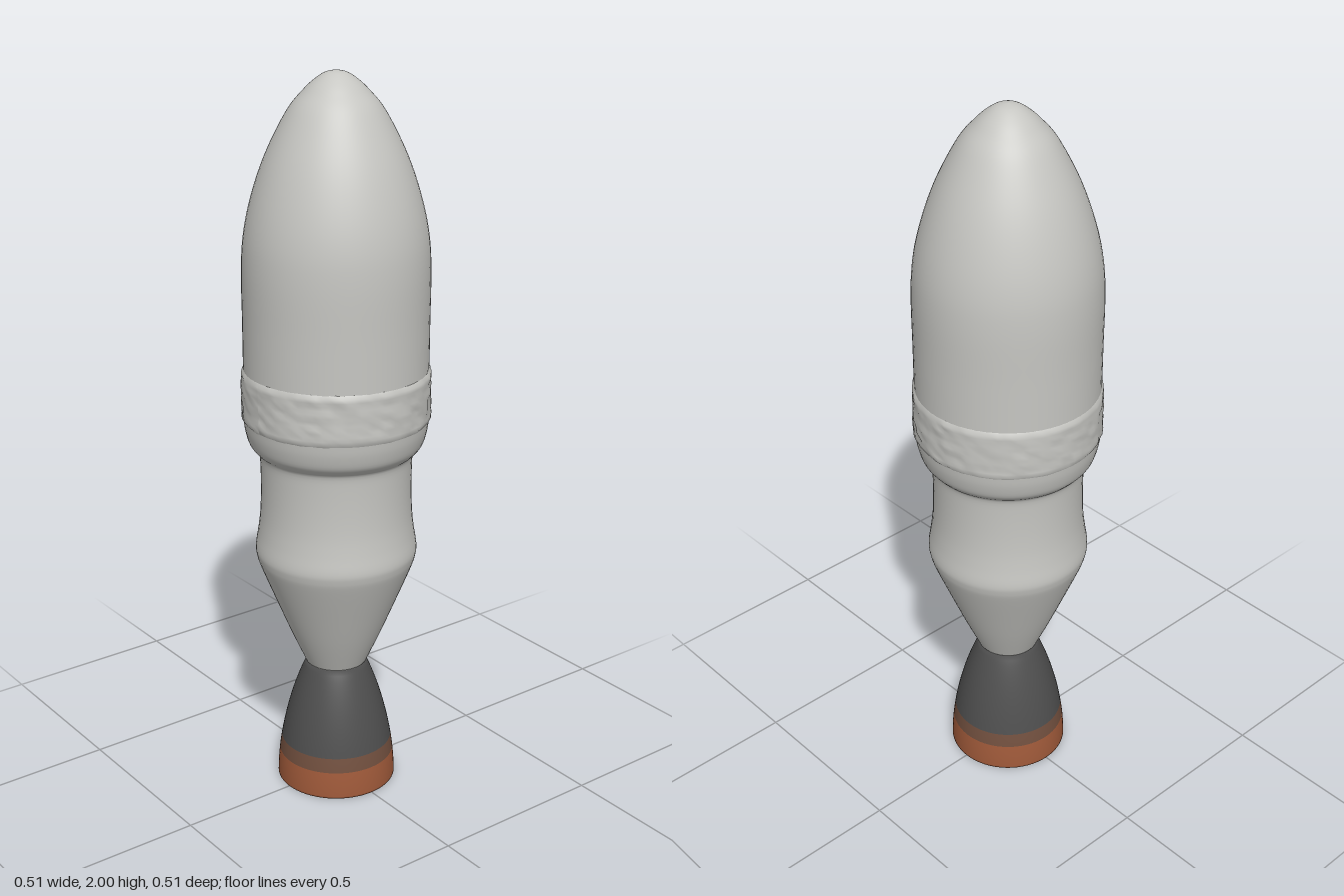
import * as THREE from 'three';

const mat = (name, color, side = THREE.FrontSide) => {
  const m = new THREE.MeshStandardMaterial({ color, side });
  m.name = name;
  return m;
};

const hash = (i, j) => {
  const s = Math.sin(i * 127.1 + j * 311.7) * 43758.5453;
  return s - Math.floor(s);
};

// Smooth curve through [radius, height] points
const smooth = (pts, n) =>
  new THREE.SplineCurve(pts.map(([r, y]) => new THREE.Vector2(r, y))).getPoints(n)
    .map(p => new THREE.Vector2(Math.max(p.x, 0), p.y));

const lathe = (name, profile, material, segments = 64) => {
  const mesh = new THREE.Mesh(new THREE.LatheGeometry(profile, segments), material);
  mesh.name = name;
  return mesh;
};

export function createModel() {
  const group = new THREE.Group();
  group.name = 'rocket';
  const hull = mat('hull grey', 0xc6c6c2);
  const dark = mat('nozzle dark grey', 0x4f4f4f);
  const brown = mat('scorched brown', 0x72503f);
  const copper = mat('copper', 0xa05a3a);
  const glow = mat('glowing orange', 0xe8420e, THREE.DoubleSide);

  // Tail cone, waist and flared shoulder
  const cone = [[0, 0.352], [0.078, 0.352], [0.086, 0.362]].map(p => new THREE.Vector2(...p));
  const tail = smooth([[0.086, 0.362], [0.125, 0.45], [0.164, 0.545], [0.208, 0.655], [0.219, 0.69],
    [0.221, 0.715], [0.214, 0.76], [0.208, 0.81], [0.205, 0.87], [0.205, 0.94], [0.208, 0.985],
    [0.220, 1.0], [0.235, 1.02], [0.245, 1.055], [0.249, 1.085]], 56);
  group.add(lathe('tailCone', cone, hull), lathe('lowerBody', tail, hull));

  // Rough insulation band: dented, with edges left tidy
  const N = 96, rows = 14, y0 = 1.08, y1 = 1.225;
  const bandProfile = [];
  for (let j = 0; j <= rows; j++) {
    const edge = j === 0 || j === rows;
    bandProfile.push(new THREE.Vector2(edge ? 0.246 : 0.251, y0 + (y1 - y0) * j / rows));
  }
  const band = lathe('roughBand', bandProfile, hull, N);
  const pos = band.geometry.attributes.position;
  for (let i = 0; i <= N; i++) {
    for (let j = 1; j < rows; j++) {
      const k = i * (rows + 1) + j;
      const a = Math.floor((i % N) / 2);
      const s = 1 + 0.013 * hash(a, Math.floor(j / 2)) + 0.006 * (hash(i % N, j + 50) - 0.5);
      pos.setX(k, pos.getX(k) * s);
      pos.setZ(k, pos.getZ(k) * s);
    }
  }
  band.geometry.computeVertexNormals();
  group.add(band);

  // Upper body and rounded ogive nose
  const nose = smooth([[0.247, 1.21], [0.247, 1.35], [0.247, 1.5], [0.238, 1.6], [0.214, 1.7],
    [0.177, 1.8], [0.125, 1.9], [0.084, 1.95], [0.055, 1.977], [0.028, 1.994], [0, 2.0]], 60);
  group.add(lathe('noseFairing', nose, hull));

  // Engine bell radius by height
  const bell = y => {
    const t = Math.min(Math.max(y / 0.36, 0), 1);
    return 0.082 + 0.085 * Math.pow(1 - Math.pow(t, 1.75), 0.9);
  };
  const bellSlice = (a, b, offset = 0) => {
    const pts = [];
    for (let i = 0; i <= 16; i++) {
      const y = a + (b - a) * i / 16;
      pts.push(new THREE.Vector2(bell(y) - offset, y));
    }
    return pts;
  };
  group.add(lathe('bellUpper', [...bellSlice(0.12, 0.36), new THREE.Vector2(0, 0.36)], dark));
  group.add(lathe('bellScorchedBand', bellSlice(0.078, 0.12), brown));
  group.add(lathe('bellCopperRim', [new THREE.Vector2(bell(0) - 0.006, 0), ...bellSlice(0, 0.078)], copper));

  // Glowing hollow inside of the bell
  group.add(lathe('bellInside', [...bellSlice(0, 0.345, 0.006), new THREE.Vector2(0, 0.345)], glow));
  return group;
}
